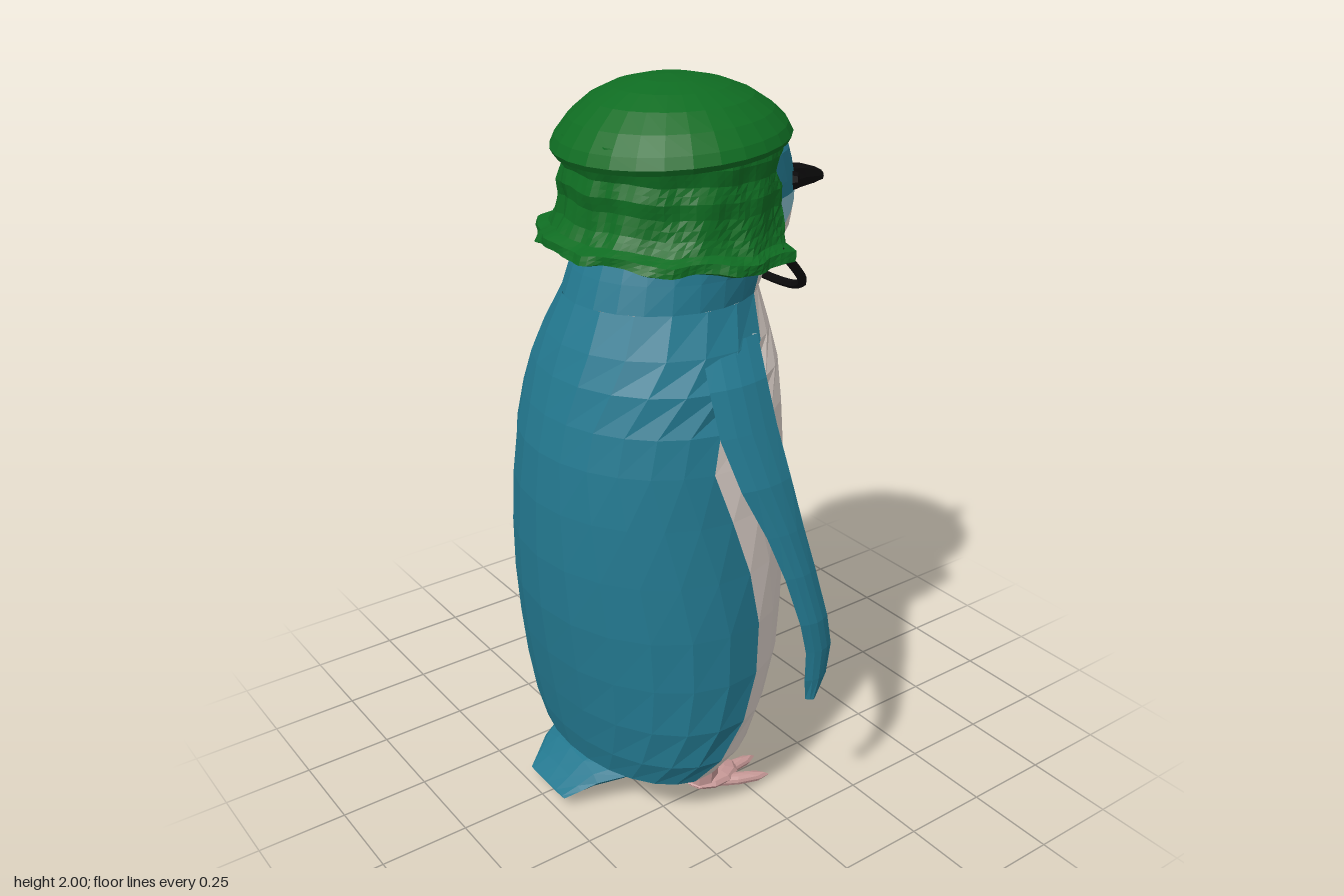
import * as THREE from 'three';

const mat = (name, color, extra = {}) =>
  new THREE.MeshStandardMaterial({ name, color, flatShading: true, ...extra });
const D = { side: THREE.DoubleSide };

// Linear blend along a list of cross-section rows, t in 0..1
function rowAt(rows, t) {
  const f = Math.min(Math.max(t, 0), 1) * (rows.length - 1);
  const i = Math.min(Math.floor(f), rows.length - 2);
  return rows[i].map((a, k) => a + (rows[i + 1][k] - a) * (f - i));
}

// Grid surface from a function of (u, v); the front faces dv x du
function patch(fn, nu, nv) {
  const pos = [], idx = [], w = nu + 1;
  for (let j = 0; j <= nv; j++)
    for (let i = 0; i <= nu; i++) pos.push(...fn(i / nu, j / nv));
  for (let j = 0; j < nv; j++)
    for (let i = 0; i < nu; i++) {
      const a = j * w + i;
      idx.push(a, a + w, a + 1, a + 1, a + w, a + w + 1);
    }
  const g = new THREE.BufferGeometry();
  g.setAttribute('position', new THREE.Float32BufferAttribute(pos, 3));
  g.setIndex(idx);
  g.computeVertexNormals();
  return g;
}

// Loft along x from rows [x, centre y, half height, half width]; dir is the x direction
const loftX = (rows, dir, sides) => patch((u, v) => {
  const [x, y, hy, hz] = rowAt(rows, v), a = u * Math.PI * 2;
  return [x, y + hy * Math.cos(a), -dir * hz * Math.sin(a)];
}, sides, rows.length - 1);

// Body rings: y, back x, front x, half width, x of the colour border
const BODY = [
  [0.085, -0.20, -0.19, 0.005, -0.195], [0.09, -0.36, -0.03, 0.27, -0.23],
  [0.13, -0.40, 0.03, 0.35, -0.21], [0.21, -0.42, 0.10, 0.40, -0.16],
  [0.33, -0.44, 0.15, 0.425, -0.10], [0.47, -0.46, 0.20, 0.43, -0.06],
  [0.62, -0.475, 0.222, 0.425, -0.05], [0.78, -0.48, 0.236, 0.413, -0.08],
  [0.94, -0.475, 0.24, 0.398, -0.13], [1.08, -0.46, 0.238, 0.385, -0.175],
  [1.18, -0.438, 0.232, 0.372, -0.15], [1.28, -0.41, 0.222, 0.348, -0.04],
  [1.36, -0.38, 0.21, 0.305, 0.05], [1.46, -0.335, 0.19, 0.25, 0.08],
];
// Head rings, evenly spaced in y: same columns plus snout sharpness
const HEAD = [
  [1.46, -0.335, 0.19, 0.25, 0.08, 1], [1.53, -0.31, 0.235, 0.247, 0.09, 1.1],
  [1.60, -0.28, 0.315, 0.25, 0.09, 1.3], [1.67, -0.27, 0.345, 0.245, 0.09, 1.5],
  [1.74, -0.27, 0.342, 0.24, 0.09, 1.5], [1.81, -0.26, 0.305, 0.235, 0.08, 1.25],
  [1.88, -0.22, 0.225, 0.19, 0.06, 1],
];

// Point on a ring: u runs -1..1 over the front part, or across the back part
function ringPoint([y, xb, xf, w, xs, sharp = 1], u, front) {
  const cx = (xb + xf) / 2, rx = (xf - xb) / 2;
  const a = Math.acos((xs - cx) / rx);
  const th = front ? u * a : Math.PI + u * (Math.PI - a);
  const c = Math.cos(th), s = Math.sin(th);
  return [cx + rx * c, y, w * Math.sign(s) * Math.abs(s) ** (c > 0 ? sharp : 1)];
}
const bodyPatch = front => patch((u, v) => ringPoint(rowAt(BODY, v), u * 2 - 1, front), 12, BODY.length - 1);
// Head band between two heights, each a function of t = 0 (beak) .. 1 (ear)
const headPatch = (lo, hi, front, nv) => patch((u, v) => {
  const k = u * 2 - 1, t = Math.abs(k), y = lo(t) + (hi(t) - lo(t)) * v;
  return ringPoint(rowAt(HEAD, (y - 1.46) / 0.42), k, front);
}, 16, nv);

// Flipper sections: y, trailing x, leading x, z
const FLIPPER = [
  [0.415, 0.02, 0.055, 0.532], [0.48, 0.01, 0.085, 0.538], [0.57, 0.008, 0.095, 0.541],
  [0.66, -0.012, 0.08, 0.538], [0.80, -0.05, 0.052, 0.515], [0.92, -0.09, 0.03, 0.487],
  [1.05, -0.145, 0.014, 0.45], [1.18, -0.172, 0.008, 0.395], [1.29, -0.168, 0.012, 0.345],
  [1.38, -0.14, 0.04, 0.27],
];
const flipperSide = (s, bulge) => patch((u, v) => {
  const [y, x0, x1, z] = rowAt(FLIPPER, v);
  const k = s * bulge > 0 ? 1 - u : u;
  return [x0 + (x1 - x0) * k, y, s * (z + bulge * Math.sin(Math.PI * k))];
}, 4, FLIPPER.length - 1);

// Neck flap rows, inner hem to top: y, x radius, z radius, front edge x
const FLAP = [
  [1.585, 0.25, 0.25, 0.10], [1.565, 0.32, 0.325, 0.105], [1.575, 0.345, 0.35, 0.11],
  [1.60, 0.34, 0.345, 0.12], [1.615, 0.305, 0.32, 0.125], [1.65, 0.285, 0.305, 0.14],
  [1.70, 0.275, 0.295, 0.165], [1.74, 0.282, 0.295, 0.175], [1.78, 0.27, 0.285, 0.185],
  [1.82, 0.285, 0.29, 0.195], [1.87, 0.275, 0.28, 0.20],
];

export function createModel() {
  const model = new THREE.Group();
  const blue = mat('featherBlue', 0x23788f, D), white = mat('bellyWhite', 0xd8cdc6, D);
  const pale = mat('cheekBlue', 0x86bccb, D), green = mat('hatGreen', 0x0f6c22, D);
  const black = mat('black', 0x0c0b0c), pink = mat('footPink', 0xc69896);
  const add = (name, geo, m, parent = model) => {
    const mesh = new THREE.Mesh(geo, m);
    mesh.name = name;
    parent.add(mesh);
    return mesh;
  };

  // Body
  add('belly', bodyPatch(true), white);
  add('back', bodyPatch(false), blue);
  add('tail', loftX([[-0.14, 0.10, 0.005, 0.14], [-0.22, 0.095, 0.04, 0.18], [-0.32, 0.095, 0.045, 0.18],
    [-0.40, 0.08, 0.04, 0.14], [-0.44, 0.055, 0.02, 0.115], [-0.48, 0.032, 0.004, 0.09]], -1, 12), blue);

  // Head in colour bands
  const curve = ys => t => rowAt(ys.map(y => [y]), t)[0];
  const chinTop = curve([1.652, 1.665, 1.66, 1.63, 1.59]);
  const cheekTop = curve([1.654, 1.67, 1.688, 1.697, 1.70]);
  const base = () => 1.46, top = () => 1.88;
  add('chin', headPatch(base, chinTop, true, 5), white);
  add('cheeks', headPatch(chinTop, cheekTop, true, 1), pale);
  add('crown', headPatch(cheekTop, top, true, 5), blue);
  add('nape', headPatch(base, top, false, 6), blue);
  add('beak', loftX([[0.30, 1.68, 0.045, 0.06], [0.35, 1.681, 0.04, 0.046], [0.40, 1.677, 0.034, 0.026],
    [0.45, 1.671, 0.023, 0.017], [0.475, 1.667, 0.014, 0.012], [0.483, 1.666, 0.001, 0.001]], 1, 8), black);

  for (const s of [1, -1]) {
    const side = s > 0 ? 'left' : 'right';
    const eye = add(side + 'Eye', new THREE.CylinderGeometry(0.02, 0.026, 0.016, 8), black);
    eye.position.set(0.258, 1.715, s * 0.146);
    eye.quaternion.setFromUnitVectors(new THREE.Vector3(0, 1, 0), new THREE.Vector3(0.7, 0.05, s * 0.71).normalize());

    // Flippers: coloured outside, pale inside
    add(side + 'FlipperOuter', flipperSide(s, 0.014), blue);
    add(side + 'FlipperInner', flipperSide(s, -0.012), white);

    // Feet
    const foot = new THREE.Group();
    foot.name = side + 'Foot';
    foot.position.set(-0.13, 0, s * 0.24);
    model.add(foot);
    add('ankle', new THREE.CylinderGeometry(0.05, 0.045, 0.09, 8), pink, foot).position.set(0.025, 0.065, 0);
    const pad = add('footPad', new THREE.SphereGeometry(1, 10, 6), pink, foot);
    pad.scale.set(0.085, 0.024, 0.06);
    pad.position.set(0.06, 0.028, 0);
    for (const a of [-0.42, 0, 0.42]) {
      const toe = add('toe', new THREE.SphereGeometry(1, 8, 6), pink, foot);
      toe.scale.set(0.095, 0.017, 0.021);
      toe.position.set(0.125 * Math.cos(a), 0.017, -0.13 * Math.sin(a));
      toe.rotation.y = a;
    }
  }

  // Hat dome, with the rim raised at the front
  const dome = new THREE.LatheGeometry([[0.001, 1.84], [0.27, 1.835], [0.30, 1.83], [0.308, 1.845], [0.295, 1.872],
    [0.26, 1.912], [0.21, 1.95], [0.15, 1.977], [0.08, 1.994], [0.001, 2.0]].map(p => new THREE.Vector2(...p)), 28);
  const p = dome.attributes.position;
  for (let i = 0; i < p.count; i++) {
    const x = p.getX(i), y = p.getY(i);
    p.setY(i, y + 0.07 * x * Math.min(1, (2 - y) / 0.14));
  }
  dome.computeVertexNormals();
  add('hatDome', dome, green).position.x = -0.035;

  // Wrinkled neck flap, open at the face
  add('neckFlap', patch((u, v) => {
    const [y, rx, rz, fx] = rowAt(FLAP, v);
    const a0 = Math.acos((fx + 0.04) / rx), th = a0 + u * 2 * (Math.PI - a0);
    const soft = Math.min(1, v * 8) * (1 - v * 0.6);
    const r = 1 + soft * (0.022 * Math.sin(11 * th + 9 * v) + 0.022 * Math.sin(23 * th - 5 * v) * Math.sin(5 * th));
    const drop = (1 - v) * (0.03 * Math.cos(th) + 0.008 * Math.sin(9 * th));
    return [-0.04 + rx * r * Math.cos(th), y - drop, rz * r * Math.sin(th)];
  }, 72, 20), green);

  // Chin strap
  const strap = [[1.60, 0.30], [1.55, 0.295], [1.49, 0.265], [1.45, 0.19], [1.436, 0.09], [1.442, 0],
    [1.462, -0.1], [1.50, -0.2], [1.55, -0.27], [1.60, -0.285]]
    .map(([y, z]) => new THREE.Vector3(0.11 + 1.57 - y, y, z));
  add('chinStrap', new THREE.TubeGeometry(new THREE.CatmullRomCurve3(strap), 32, 0.012, 6), black);

  return model;
}
